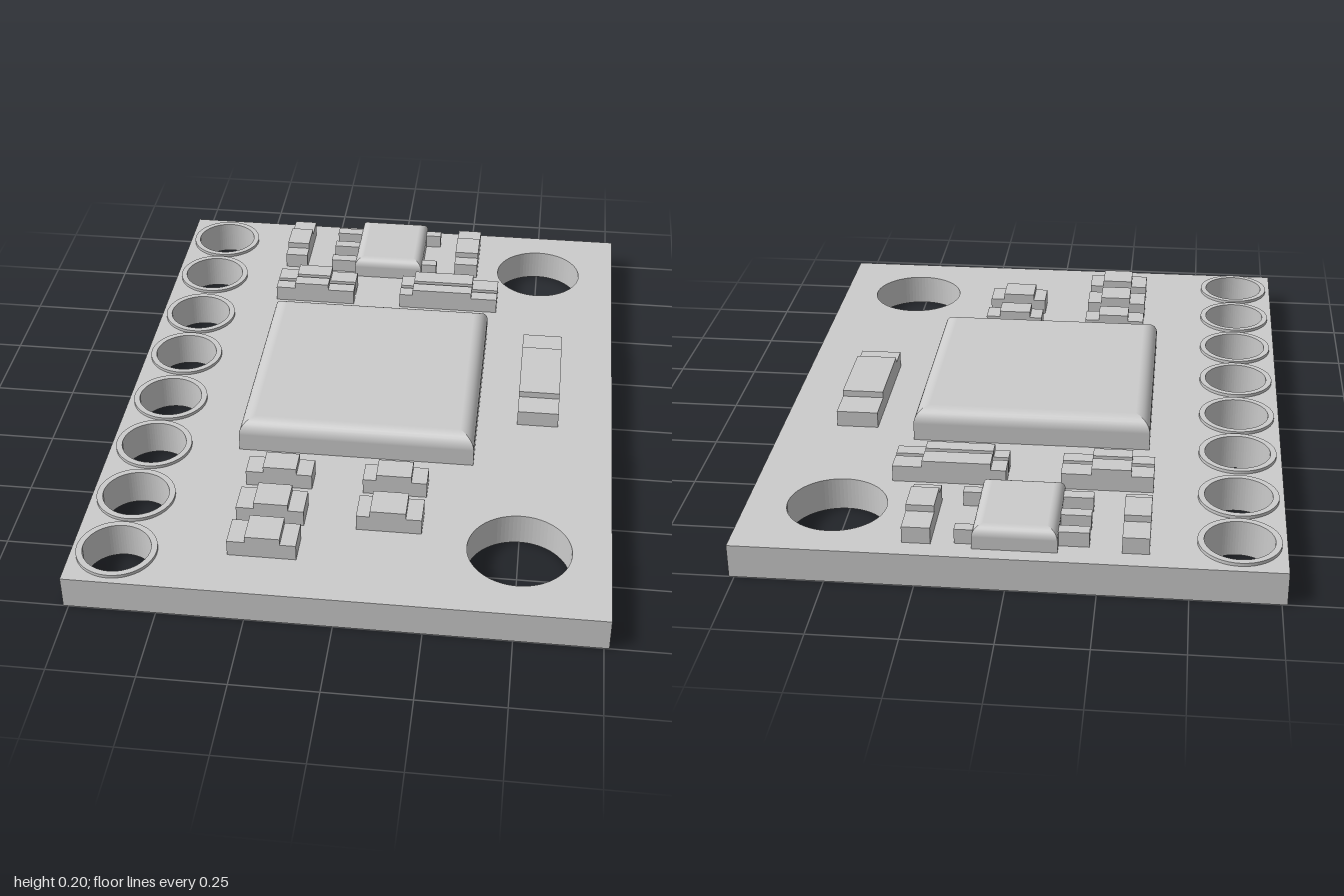
import * as THREE from 'three';

const mat = new THREE.MeshStandardMaterial({ color: 0xcccccc, side: THREE.DoubleSide });
const BOARD_TOP = 0.1;

function add(parent, geometry, name) {
  const mesh = new THREE.Mesh(geometry, mat);
  mesh.name = name;
  parent.add(mesh);
  return mesh;
}

// Box given by its x and z ranges, standing on the board
function block(parent, name, x0, x1, z0, z1, top) {
  const h = top - BOARD_TOP;
  const mesh = add(parent, new THREE.BoxGeometry(x1 - x0, h, z1 - z0), name);
  mesh.position.set((x0 + x1) / 2, BOARD_TOP + h / 2, (z0 + z1) / 2);
}

// Flat plate in the xz plane, extruded upwards from y
function plate(parent, name, shape, y, height) {
  const geo = new THREE.ExtrudeGeometry(shape, { depth: height, bevelEnabled: false, curveSegments: 40 });
  geo.rotateX(-Math.PI / 2).translate(0, y, 0);
  return add(parent, geo, name);
}

const circle = (x, z, r) => new THREE.Path().absarc(x, -z, r, 0, Math.PI * 2, true);

// Chip body: straight walls, rounded top edges meeting in mitred corners
function chip(parent, name, x0, x1, z0, z1, top, r) {
  const profile = [[0, BOARD_TOP, 1, 0], [0, top - r, 1, 0]]; // inset, y, outward and up normal
  const steps = 8;
  for (let i = 1; i <= steps; i++) {
    const a = (i / steps) * Math.PI / 2;
    profile.push([r * (1 - Math.cos(a)), top - r + r * Math.sin(a), Math.cos(a), Math.sin(a)]);
  }
  const pos = [], nor = [], idx = [];
  const corners = [[-1, 1], [1, 1], [1, -1], [-1, -1]];
  const cx = (x0 + x1) / 2, cz = (z0 + z1) / 2, hx = (x1 - x0) / 2, hz = (z1 - z0) / 2;
  const point = ([sx, sz], inset, y) => pos.push(cx + sx * (hx - inset), y, cz + sz * (hz - inset));
  const normals = [[0, 1], [1, 0], [0, -1], [-1, 0]];
  for (let s = 0; s < 4; s++) {
    const base = pos.length / 3;
    for (const [inset, y, out, up] of profile) {
      point(corners[s], inset, y);
      point(corners[(s + 1) % 4], inset, y);
      for (let k = 0; k < 2; k++) nor.push(normals[s][0] * out, up, normals[s][1] * out);
    }
    for (let i = 0; i < profile.length - 1; i++) {
      const a = base + i * 2;
      idx.push(a, a + 1, a + 3, a, a + 3, a + 2);
    }
  }
  // flat top
  const t = pos.length / 3;
  for (const c of corners) { point(c, r, top); nor.push(0, 1, 0); }
  idx.push(t, t + 1, t + 2, t, t + 2, t + 3);
  const geo = new THREE.BufferGeometry();
  geo.setAttribute('position', new THREE.Float32BufferAttribute(pos, 3));
  geo.setAttribute('normal', new THREE.Float32BufferAttribute(nor, 3));
  geo.setIndex(idx);
  add(parent, geo, name);
}

// Surface-mount part: two low end caps around a taller middle;
// a..d run along its length, w0..w1 across it
function component(parent, name, along, [a, b, c, d], w0, w1) {
  const g = new THREE.Group();
  g.name = name;
  const seg = (n, p, q, top) => along === 'x'
    ? block(g, n, p, q, w0, w1, top)
    : block(g, n, w0, w1, p, q, top);
  seg('endCap', a, b, 0.15);
  seg('componentBody', b, c, 0.17);
  seg('endCap', c, d, 0.15);
  parent.add(g);
}

export function createModel() {
  const model = new THREE.Group();
  model.name = 'circuitBoard';

  const pinX = -0.634, pinR = 0.098;
  const pinZ = [-0.86, -0.617, -0.363, -0.12, 0.13, 0.373, 0.62, 0.865];

  // Board with pin holes and two mounting holes
  const W = 0.765;
  const outline = new THREE.Shape([[-W, -1], [W, -1], [W, 1], [-W, 1]].map(p => new THREE.Vector2(...p)));
  for (const z of pinZ) outline.holes.push(circle(pinX, z, pinR));
  outline.holes.push(circle(0.505, -0.755, 0.143), circle(0.503, 0.735, 0.15));
  plate(model, 'board', outline, 0, BOARD_TOP);

  // Solder rings around the pin holes
  for (const z of pinZ) {
    const ring = new THREE.Shape().absarc(pinX, -z, 0.116, 0, Math.PI * 2, false);
    ring.holes.push(circle(pinX, z, pinR));
    plate(model, 'pinRing', ring, BOARD_TOP, 0.01);
  }

  // Main chip and small regulator chip
  chip(model, 'mainChip', -0.37, 0.347, -0.357, 0.363, 0.2, 0.045);
  chip(model, 'smallChip', -0.14, 0.095, -0.955, -0.67, 0.168, 0.03);

  // Legs of the small chip
  for (const z of [-0.9, -0.81, -0.714]) block(model, 'chipLeg', -0.225, -0.13, z - 0.018, z + 0.018, 0.145);
  for (const z of [-0.915, -0.714]) block(model, 'chipLeg', 0.085, 0.146, z - 0.016, z + 0.016, 0.145);

  // Front components, left and right columns
  const rows = [[0.455, 0.53], [0.602, 0.697], [0.75, 0.847]];
  rows.forEach(([z0, z1], i) => {
    component(model, 'frontComponent', 'x', [-0.32, -0.268, -0.168, -0.122], z0, z1);
    if (i < 2) component(model, 'frontComponent', 'x', [0.03, 0.07, 0.174, 0.22], z0, z1);
  });

  // Paired rows behind the main chip
  for (const [z0, z1] of [[-0.61, -0.548], [-0.532, -0.488]]) {
    component(model, 'rearComponent', 'x', [-0.39, -0.325, -0.21, -0.122], z0, z1);
    component(model, 'rearComponent', 'x', [0.037, 0.082, 0.283, 0.37], z0, z1);
  }

  // Parts beside the small chip
  for (const [x0, x1] of [[-0.39, -0.315], [0.21, 0.29]])
    component(model, 'sideComponent', 'z', [-0.94, -0.855, -0.755, -0.707], x0, x1);

  // Large part beside the main chip
  component(model, 'largeComponent', 'z', [-0.29, -0.187, 0.062, 0.142], 0.47, 0.597);

  return model;
}
